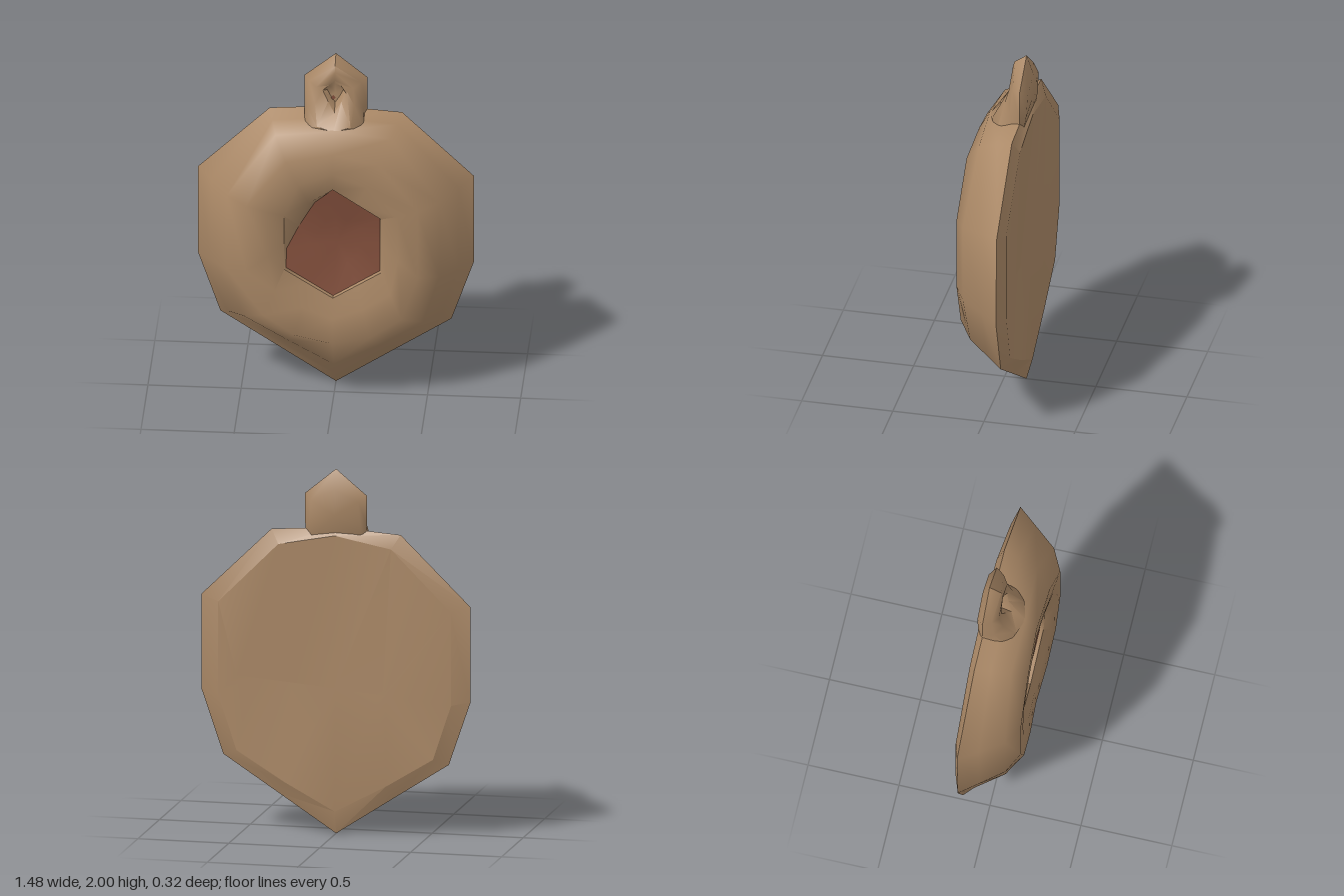
import * as THREE from 'three';
import { toCreasedNormals } from 'three/addons/utils/BufferGeometryUtils.js';

// Skin a series of closed rings (counter-clockwise from the front), running back to front
function loft(rings, crease) {
  const n = rings[0].length, index = [];
  for (let i = 0; i < rings.length - 1; i++) {
    for (let j = 0; j < n; j++) {
      const a = i * n + j, b = i * n + (j + 1) % n;
      index.push(a, b, b + n, a, b + n, a + n);
    }
  }
  const geo = new THREE.BufferGeometry();
  geo.setAttribute('position', new THREE.Float32BufferAttribute(rings.flat(2), 3));
  geo.setIndex(index);
  return toCreasedNormals(geo, crease);
}

// Half profile listed bottom to top; the left side mirrors the right
const mirror = half => [...half, ...half.slice(1, -1).reverse().map(([x, y, z]) => [-x, y, z])];
const mix = (a, b, t) => a.map((p, i) => p.map((v, k) => v + (b[i][k] - v) * t));
const pointRing = (n, p) => Array.from({ length: n }, () => [...p]);

export function createModel() {
  const group = new THREE.Group();
  const clay = new THREE.MeshStandardMaterial({ color: 0xaa8866 });
  clay.name = 'tan clay';
  const red = new THREE.MeshStandardMaterial({ color: 0x824f3c });
  red.name = 'red brown inlay';
  const add = (name, geo, mat) => {
    const mesh = new THREE.Mesh(geo, mat);
    mesh.name = name;
    group.add(mesh);
    return mesh;
  };

  // Medallion rings
  const back = mirror([[0, 0.13, -0.153], [0.28, 0.28, -0.153], [0.54, 0.44, -0.153],
    [0.64, 0.74, -0.155], [0.64, 1.25, -0.155], [0.31, 1.58, -0.155], [0, 1.64, -0.155]]);
  const rim = mirror([[0, 0.005, -0.12], [0.31, 0.208, -0.12], [0.62, 0.41, -0.12],
    [0.74, 0.76, -0.12], [0.74, 1.28, -0.125], [0.355, 1.655, -0.12], [0, 1.68, -0.12]]);
  const shoulder = mirror([[0, 0.2, 0.05], [0.26, 0.34, 0.065], [0.48, 0.49, 0.08],
    [0.57, 0.78, 0.1], [0.57, 1.23, 0.1], [0.31, 1.59, 0.07], [0, 1.63, 0.08]]);
  const ridge = mirror([[0, 0.37, 0.137], [0.2, 0.42, 0.15], [0.37, 0.54, 0.157],
    [0.46, 0.8, 0.16], [0.46, 1.2, 0.16], [0.25, 1.47, 0.152], [0, 1.52, 0.14]]);
  const hole = mirror([[0, 0.63, 0.105], [0.13, 0.715, 0.11], [0.26, 0.8, 0.115],
    [0.26, 0.965, 0.122], [0.26, 1.13, 0.125], [0.13, 1.215, 0.125], [0, 1.3, 0.125]]);

  // Shallow crease across the back: every spoke ends on one line
  const valley = back.map(([x]) => {
    const vx = THREE.MathUtils.clamp(x * 0.85, -0.28, 0.54);
    return [vx, 0.8 + vx * 0.09, -0.13 - Math.abs(vx - 0.13) * 0.05];
  });

  // Side wall, with a gouge along the lower left edge
  const wall = mix(rim, shoulder, 0.45);
  wall[11] = [-0.29, 0.255, -0.085];
  wall[10] = [-0.575, 0.435, -0.07];
  shoulder[11] = [-0.25, 0.33, 0.035];
  const lip = mix(ridge, hole, 0.55).map(([x, y, z]) => [x, y, z + 0.008]);

  // Floor of the opening, cut in at the upper left
  const floor = hole.map(([x, y, z]) => [x * 0.97, 0.965 + (y - 0.965) * 0.985, z - 0.02]);
  floor[7] = [-0.1, 1.19, 0.07];
  floor[8] = [-0.185, 1.04, 0.06];
  floor[9] = [-0.25, 0.91, 0.08];
  add('medallionBack', loft([valley, back, rim], 0.35), clay);
  add('medallionFront', loft([rim, wall, shoulder, ridge, lip, hole, floor], 1), clay);
  const bowl = mix(floor, pointRing(12, [0.02, 0.95, 0.04]), 0.5);
  add('inlay', loft([floor, bowl, pointRing(12, [0.02, 0.95, 0.05])], 0.9), red);

  // Hanging loop with a blind diamond-shaped eye
  const loopBack = mirror([[0, 1.6, -0.135], [0.13, 1.62, -0.135], [0.14, 1.7, -0.15],
    [0.13, 1.83, -0.156], [0, 1.89, -0.158]]);
  const loopRim = mirror([[0, 1.6, -0.12], [0.165, 1.61, -0.12], [0.17, 1.7, -0.12],
    [0.17, 1.86, -0.12], [0, 2, -0.12]]);
  const loopSide = mirror([[0, 1.57, 0.05], [0.16, 1.6, 0.01], [0.15, 1.7, -0.06],
    [0.14, 1.85, -0.075], [0, 1.955, -0.055]]);
  const loopFront = mirror([[0, 1.625, 0.078], [0.09, 1.64, 0.05], [0.105, 1.74, -0.02],
    [0.1, 1.83, -0.045], [0, 1.92, -0.045]]);
  const eye = mirror([[0, 1.7, 0], [0.035, 1.755, -0.025], [0.065, 1.815, -0.04],
    [0.033, 1.842, -0.045], [0, 1.87, -0.05]]);
  const eyeFloor = mix(eye, pointRing(8, [0, 1.79, 0]), 0.35).map(([x, y]) => [x, y, -0.065]);
  add('hangingLoop', loft([pointRing(8, [0, 1.75, -0.155]), loopBack, loopRim, loopSide,
    loopFront, eye, eyeFloor, pointRing(8, [0, 1.79, -0.065])], 0.95), clay);

  // Small fleck of inlay inside the eye
  const fleck = add('eyeFleck', new THREE.CircleGeometry(0.014, 4), red);
  fleck.position.set(-0.01, 1.762, -0.06);

  return group;
}
